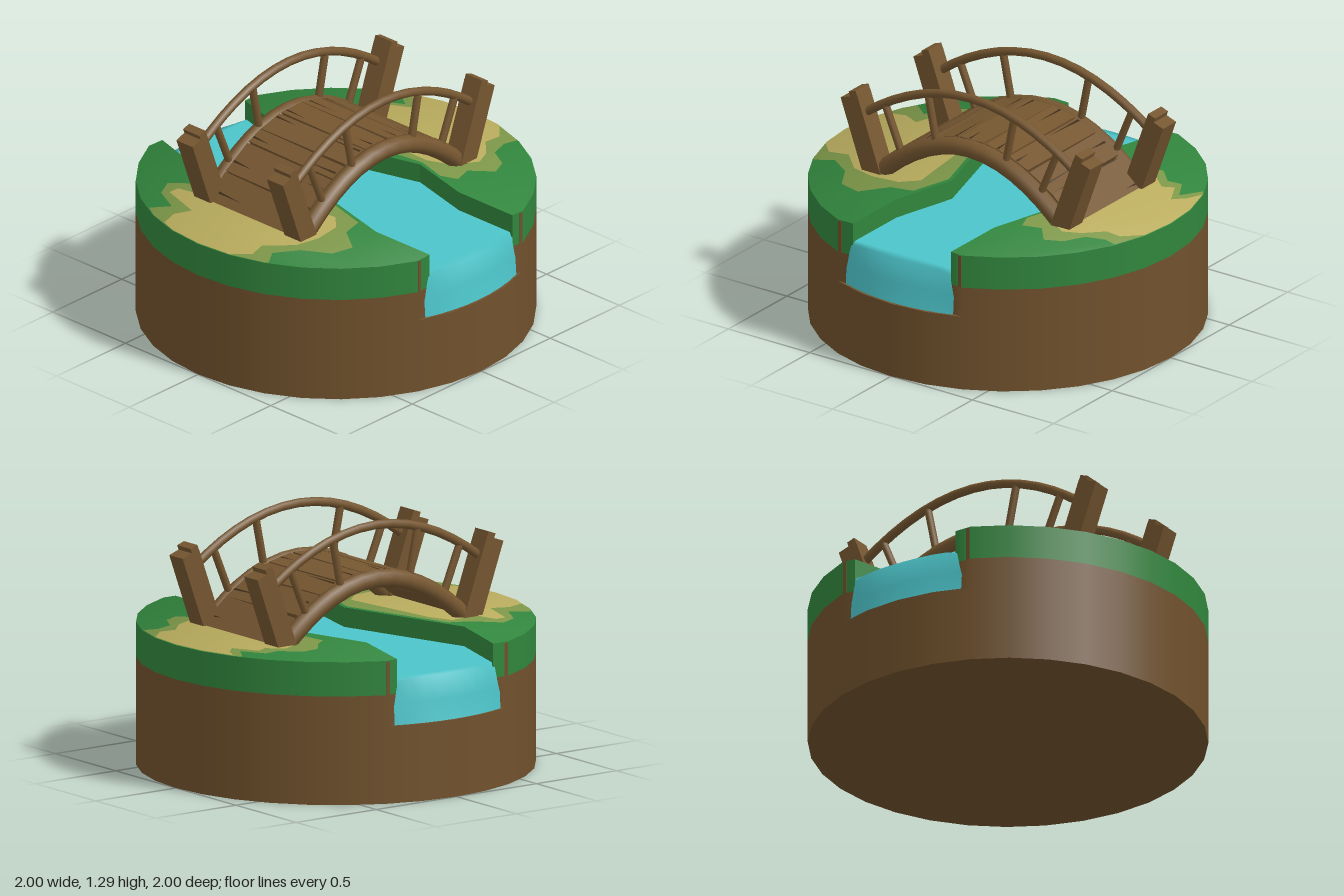
import * as THREE from 'three';

const mat = (name, color, side = THREE.FrontSide) => {
  const m = new THREE.MeshStandardMaterial({ color, side });
  m.name = name;
  return m;
};

// y of each arch of the bridge at depth z
const deckY = z => 1.03 - 0.8 * z * z;
const beamY = z => 0.995 - 0.85 * z * z;
const railY = z => 1.27 - 0.57 * z * z;

function seeded(seed) {
  return () => (seed = (seed * 16807) % 2147483647) / 2147483647;
}

// Flat outline given as [x, z] points
function outline(points) {
  return new THREE.Shape(points.map(([x, z]) => new THREE.Vector2(x, -z)));
}

// Round shading: radial on the outer wall, gently domed on top
function roundNormals(geo) {
  const p = geo.attributes.position, n = geo.attributes.normal;
  const v = new THREE.Vector3();
  for (let i = 0; i < p.count; i++) {
    const x = p.getX(i), z = p.getZ(i);
    if (n.getY(i) > 0.9) v.set(x * 0.5, 1, z * 0.5).normalize();
    else if (Math.abs(n.getY(i)) < 0.5 && Math.hypot(x, z) > 0.985) v.set(x, 0, z).normalize();
    else continue;
    n.setXYZ(i, v.x, v.y, v.z);
  }
  return geo;
}

function slab(points, y0, y1) {
  const geo = new THREE.ExtrudeGeometry(outline(points), { depth: y1 - y0, bevelEnabled: false });
  return roundNormals(geo.rotateX(-Math.PI / 2).translate(0, y0, 0));
}

function plate(points, y) {
  return roundNormals(new THREE.ShapeGeometry(outline(points)).rotateX(-Math.PI / 2).translate(0, y, 0));
}

// Grid surface through equal rows of points
function surface(rows) {
  const w = rows[0].length, index = [];
  for (let i = 0; i < rows.length - 1; i++)
    for (let j = 0; j < w - 1; j++) {
      const a = i * w + j, b = a + w;
      index.push(a, a + 1, b, b, a + 1, b + 1);
    }
  const geo = new THREE.BufferGeometry();
  geo.setAttribute('position', new THREE.Float32BufferAttribute(rows.flat(2), 3));
  geo.setIndex(index);
  geo.computeVertexNormals();
  return geo;
}

// Tube following an arch y = f(z) at a fixed x
function archTube(f, x, reach, radius) {
  const pts = [];
  for (let i = 0; i <= 12; i++) {
    const z = -reach + (2 * reach * i) / 12;
    pts.push(new THREE.Vector3(x, f(z), z));
  }
  return new THREE.TubeGeometry(new THREE.CatmullRomCurve3(pts), 14, radius, 8);
}

export function createModel() {
  const earth = mat('earth', 0x70512c);
  const grass = mat('grass', 0x31853d);
  const dryGrass = mat('dryGrass', 0x7c9648);
  const sand = mat('sand', 0xb9ac5e);
  const waterMat = mat('water', 0x4cc4c9, THREE.DoubleSide);
  const wood = mat('wood', 0x755630);
  const darkWood = mat('darkWood', 0x402e18, THREE.DoubleSide);

  const model = new THREE.Group();
  const add = (parent, name, geo, material) => {
    const mesh = new THREE.Mesh(geo, material);
    mesh.name = name;
    parent.add(mesh);
    return mesh;
  };

  // Ground disc, and the two banks standing on it
  add(model, 'groundBase', new THREE.CylinderGeometry(1, 1, 0.395, 32).translate(0, 0.1975, 0), earth);
  const banks = {
    back: [[-0.92, -0.31], [-0.52, -0.2], [0.2, -0.4], [0.55, -0.31], [0.92, -0.31]],
    front: [[-0.92, 0.29], [-0.52, 0.41], [0.2, 0.2], [0.55, 0.29], [0.92, 0.29]],
  };
  for (const [side, edge] of Object.entries(banks)) {
    const s = side === 'front' ? 1 : -1;
    const points = [...edge];
    for (let i = 0; i <= 12; i++) {
      const a = Math.PI / 8 + (i * Math.PI) / 16;
      points.push([Math.cos(a), s * Math.sin(a)]);
    }
    add(model, side + 'BankEarth', slab(points, 0.39, 0.555), earth);
    add(model, side + 'BankGrass', slab(points, 0.555, 0.73), grass);
    for (const x of [-1, 1])
      add(model, side + 'BankEdge', new THREE.BoxGeometry(0.008, 0.17, 0.02).translate(x * 0.922, 0.64, s * 0.368), earth);
  }

  // River with a fall at each end
  const rows = [];
  const row = f => rows.push(Array.from({ length: 9 }, (_, j) => f(j / 4 - 1)));
  const drop = (side, y, out) => row(t => {
    const z = 0.33 * t;
    const inner = 0.915 + 0.035 * (1 - t * t);
    const outer = Math.sqrt(0.985 ** 2 - z * z);
    const sag = y > 0.6 ? 0.025 * t ** 6 : 0;
    return [side * (inner + (outer - inner) * out), y - sag, z];
  });
  drop(-1, 0.395, 1);
  drop(-1, 0.5, 0.4);
  drop(-1, 0.625, 0);
  banks.back.forEach(([x, zb], i) => {
    const zf = banks.front[i][1];
    row(t => [x * 0.98, 0.63, (zb + zf) / 2 + ((zf - zb) / 2 + 0.03) * t]);
  });
  drop(1, 0.625, 0);
  drop(1, 0.5, 0.4);
  drop(1, 0.395, 1);
  add(model, 'river', surface(rows), waterMat);

  // Worn path at both ends of the bridge
  add(model, 'backPathEdge', plate([
    [-0.38, -0.923], [-0.195, -0.98], [0, -0.999], [0.195, -0.98], [0.37, -0.925], [0.35, -0.85], [0.38, -0.75],
    [0.49, -0.69], [0.53, -0.6], [0.42, -0.51], [0.45, -0.41], [0.36, -0.375], [0.2, -0.42], [-0.36, -0.35],
    [-0.4, -0.41], [-0.5, -0.49], [-0.51, -0.59], [-0.42, -0.68], [-0.43, -0.76], [-0.31, -0.83], [-0.42, -0.9],
  ], 0.732), dryGrass);
  add(model, 'backPath', plate([
    [-0.38, -0.923], [-0.195, -0.98], [0, -0.999], [0.195, -0.98], [0.28, -0.89], [0.27, -0.8], [0.36, -0.71],
    [0.4, -0.62], [0.32, -0.5], [0.2, -0.45], [-0.3, -0.45], [-0.36, -0.52], [-0.41, -0.62], [-0.34, -0.7],
    [-0.37, -0.76], [-0.24, -0.83], [-0.3, -0.89],
  ], 0.735), sand);
  add(model, 'frontPathEdge', plate([
    [-0.45, 0.88], [-0.38, 0.79], [-0.52, 0.72], [-0.57, 0.62], [-0.45, 0.51], [-0.4, 0.4], [0.2, 0.22],
    [0.42, 0.28], [0.45, 0.4], [0.59, 0.5], [0.56, 0.62], [0.42, 0.7], [0.34, 0.82], [0.4, 0.91], [0.38, 0.923],
    [0.195, 0.98], [0, 0.999], [-0.195, 0.98], [-0.38, 0.923],
  ], 0.732), dryGrass);
  add(model, 'frontPath', plate([
    [-0.28, 0.95], [-0.31, 0.85], [-0.27, 0.76], [-0.49, 0.69], [-0.49, 0.63], [-0.36, 0.6], [-0.38, 0.44],
    [-0.25, 0.39], [0.3, 0.32], [0.38, 0.4], [0.4, 0.55], [0.37, 0.68], [0.25, 0.8], [0.28, 0.9], [0.21, 0.97],
    [0.195, 0.98], [0, 0.999], [-0.195, 0.98],
  ], 0.735), sand);

  // Bridge deck: uneven planks over a dark curved bed
  const bridge = new THREE.Group();
  bridge.name = 'bridge';
  model.add(bridge);
  const bed = [];
  for (let i = 0; i <= 16; i++) {
    const z = -0.6 + (1.2 * i) / 16;
    bed.push([[0.27, deckY(z) - 0.025, z], [-0.27, deckY(z) - 0.025, z]]);
  }
  add(bridge, 'deckBed', surface(bed), darkWood);
  const rand = seeded(77);
  const joints = [-0.62, -0.46, -0.32, -0.2, -0.06, 0.09, 0.23, 0.32, 0.48, 0.62];
  for (let i = 0; i < joints.length - 1; i++) {
    const a = joints[i], b = joints[i + 1], z = (a + b) / 2;
    const length = Math.hypot(b - a, deckY(b) - deckY(a));
    const plank = new THREE.Group();
    plank.name = 'plank';
    plank.position.set(-0.005, (deckY(a) + deckY(b)) / 2 - 0.018, z);
    plank.rotation.set(Math.atan2(deckY(a) - deckY(b), b - a), (rand() - 0.5) * 0.04, 0);
    bridge.add(plank);
    add(plank, 'plankBoard', new THREE.BoxGeometry(0.58, 0.045, length - 0.006), wood);
    // Splits running in from the plank ends
    for (const s of [-1, 1]) {
      const zc = (rand() - 0.5) * length * 0.7, reach = 0.08 + rand() * 0.18;
      add(plank, 'plankSplit', plate([
        [s * 0.285, zc - 0.007], [s * 0.285, zc + 0.007], [s * (0.285 - reach), zc + 0.004],
      ], 0.0245), darkWood);
    }
  }

  // Arched beams, handrails, balusters and leaning end posts
  for (const s of [-1, 1]) {
    const x = s * 0.32 - 0.005;
    add(bridge, 'archBeam', archTube(beamY, x, 0.58, 0.047), wood);
    add(bridge, 'handrail', archTube(railY, x, 0.65, 0.023), wood);
    for (const e of [-1, 1]) {
      for (const [zLow, zHigh] of [[0.21, 0.265], [0.42, 0.53]]) {
        const path = new THREE.LineCurve3(
          new THREE.Vector3(x, beamY(zLow), e * zLow), new THREE.Vector3(x, railY(zHigh), e * zHigh));
        add(bridge, 'baluster', new THREE.TubeGeometry(path, 1, 0.02, 8), wood);
      }
      const post = new THREE.Group();
      post.name = 'endPost';
      post.position.set(s * 0.311 - 0.003, 0.7, e * 0.568);
      post.rotation.x = e * 0.345;
      bridge.add(post);
      add(post, 'postShaft', new THREE.BoxGeometry(0.112, 0.44, 0.108).translate(0, 0.22, 0), wood);
      add(post, 'postTop', new THREE.BoxGeometry(0.112, 0.03, 0.045).translate(0, 0.45, -e * 0.03), wood);
    }
  }
  return model;
}
